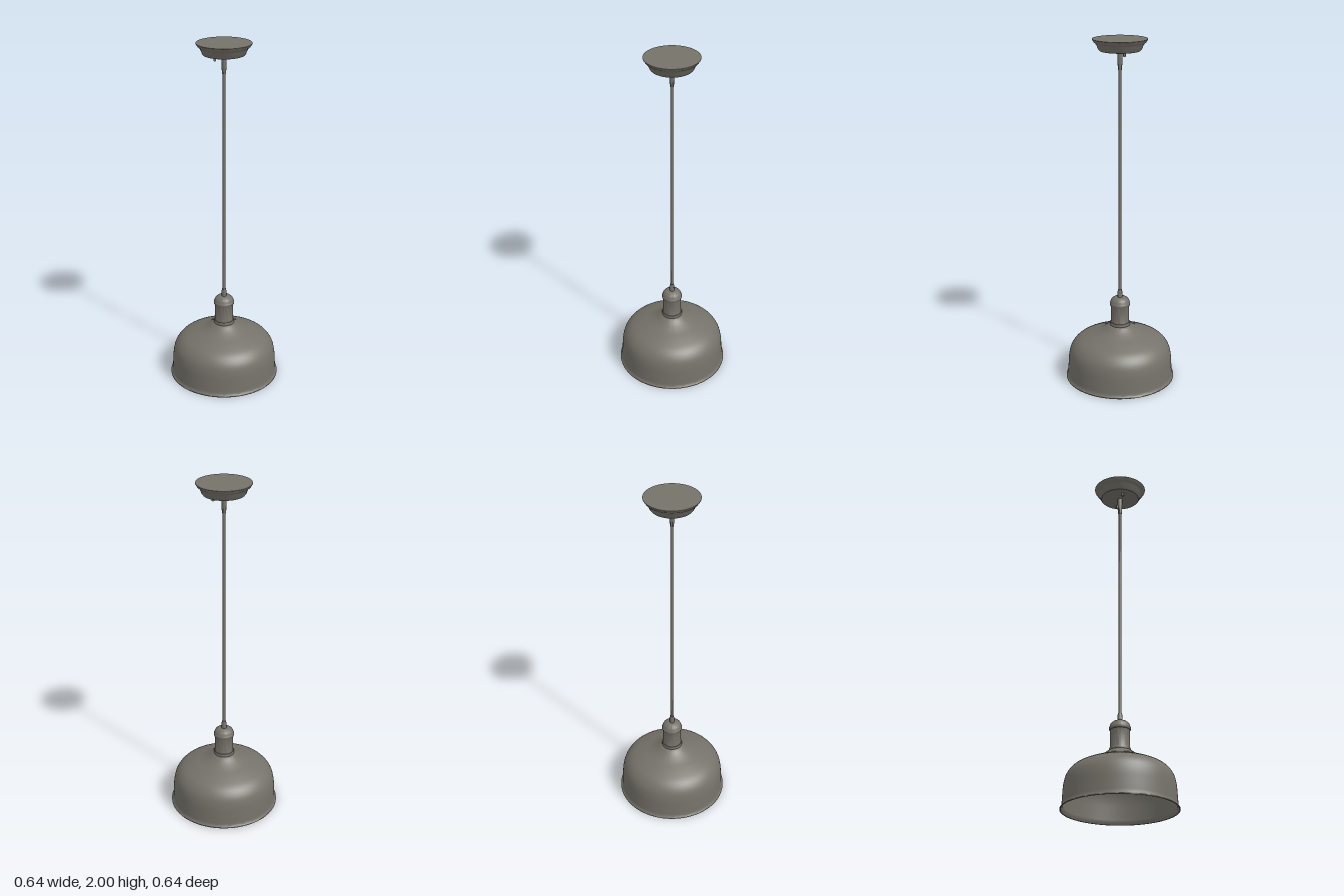
import * as THREE from 'three';
import { toCreasedNormals } from 'three/addons/utils/BufferGeometryUtils.js';

export function createModel() {
  const model = new THREE.Group();
  model.name = 'pendantLamp';
  const metal = new THREE.MeshStandardMaterial({ color: 0x75726a });
  metal.name = 'warm grey metal';

  const add = (name, geometry, x = 0, y = 0, z = 0) => {
    const mesh = new THREE.Mesh(geometry, metal);
    mesh.name = name;
    mesh.position.set(x, y, z);
    model.add(mesh);
  };
  // Turned part from [radius, height] pairs, with the outside running upwards
  const turned = (name, profile, segments = 64) => {
    const points = profile.map(([r, y]) => new THREE.Vector2(r, y));
    add(name, toCreasedNormals(new THREE.LatheGeometry(points, segments), 0.6));
  };
  const smooth = (pairs, count) =>
    new THREE.SplineCurve(pairs.map(([r, y]) => new THREE.Vector2(r, y)))
      .getPoints(count).map((p) => [p.x, p.y]);

  // Shade: thin bell with an inner wall and a flared rim
  const bell = smooth([
    [0.309, 0.02], [0.306, 0.08], [0.301, 0.14], [0.286, 0.19], [0.25, 0.232],
    [0.19, 0.262], [0.135, 0.283], [0.095, 0.304], [0.068, 0.325],
  ], 32);
  const inside = bell.map(([r, y]) => [r - 0.005, y - 0.005]).reverse();
  turned('shade', [
    [0, 0.32], ...inside, [0.314, 0], [0.319, 0], [0.319, 0.004], [0.312, 0.01],
    ...bell, [0.05, 0.33],
  ], 96);

  // Socket: collars, straight neck and domed cap
  turned('socket', [
    [0, 0.322], [0.058, 0.322], [0.06, 0.326], [0.06, 0.338], [0.057, 0.343],
    [0.054, 0.344], [0.054, 0.446], [0.058, 0.447], [0.06, 0.451], [0.06, 0.462],
    [0.057, 0.466], [0.055, 0.475], [0.049, 0.486], [0.038, 0.495], [0.026, 0.499], [0, 0.5],
  ]);

  // Cord with a tapered grip at each end
  add('cord', new THREE.CylinderGeometry(0.008, 0.008, 1.4, 24), 0, 1.22, 0);
  turned('lowerCordGrip', [[0.015, 0.495], [0.014, 0.53], [0.011, 0.545], [0, 0.545]], 32);
  turned('upperCordGrip', [
    [0, 1.832], [0.011, 1.832], [0.012, 1.85], [0.014, 1.9], [0.014, 1.938],
  ], 32);

  // Ceiling canopy
  turned('canopy', [
    [0, 1.934], [0.104, 1.934], [0.112, 1.936], [0.118, 1.943], [0.129, 1.968],
    [0.136, 1.978], [0.143, 1.983], [0.147, 1.99], [0.152, 1.997], [0.152, 2], [0, 2],
  ], 96);

  // Pair of canopy screws
  for (const side of [-1, 1]) {
    add('canopyScrew', new THREE.CylinderGeometry(0.007, 0.007, 0.025, 20), side * 0.072, 1.926, 0);
  }
  return model;
}
